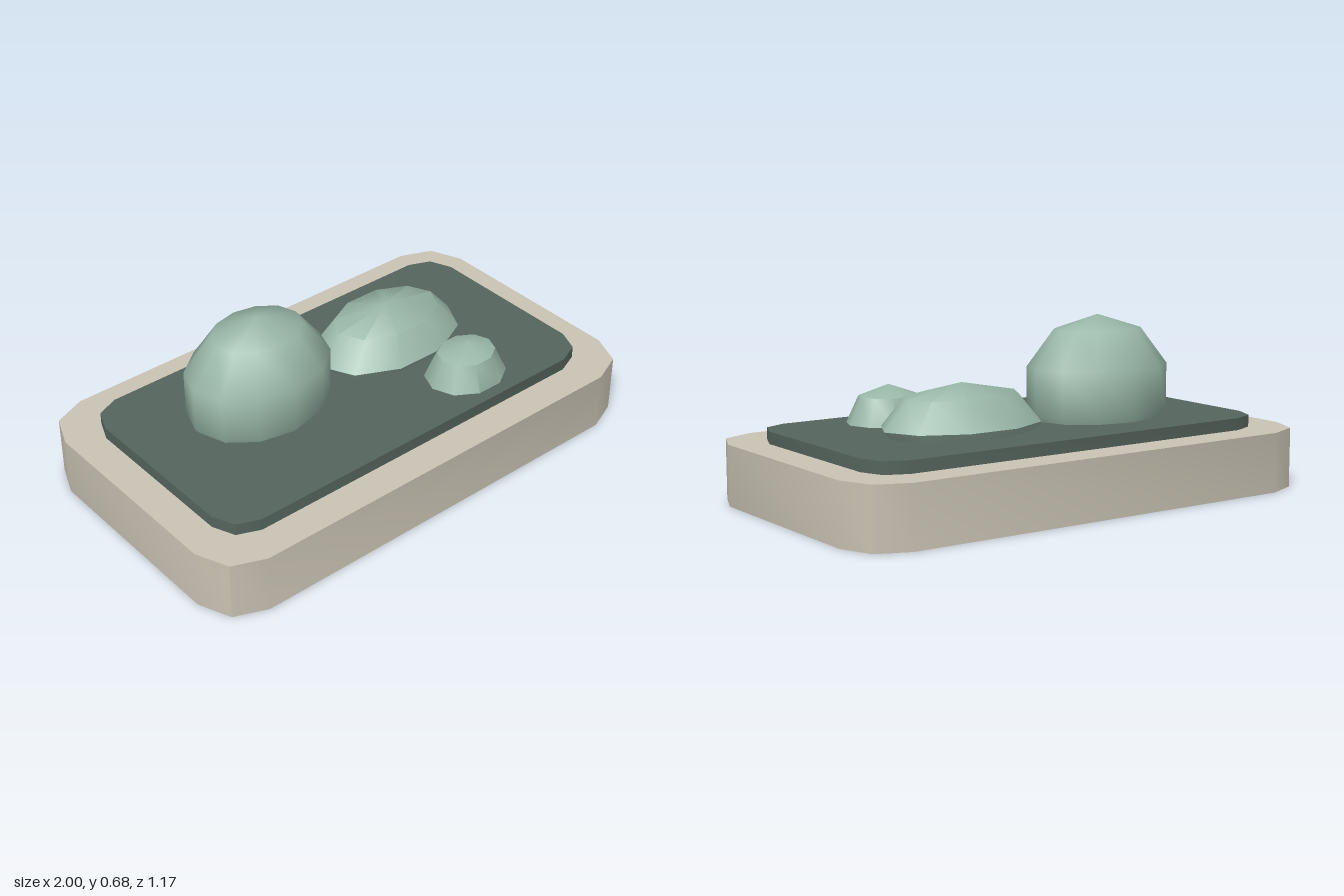
import * as THREE from 'three';
import { toCreasedNormals } from 'three/addons/utils/BufferGeometryUtils.js';

const CREASE = 0.77;

function material(name, color) {
  const m = new THREE.MeshStandardMaterial({ color });
  m.name = name;
  return m;
}

// Upright slab with corners rounded in two steps
function roundedSlab(halfX, halfZ, radius, bottom, top) {
  const x = halfX - radius, z = halfZ - radius, q = Math.PI / 2;
  const shape = new THREE.Shape();
  shape.absarc(x, z, radius, 0, q);
  shape.absarc(-x, z, radius, q, 2 * q);
  shape.absarc(-x, -z, radius, 2 * q, 3 * q);
  shape.absarc(x, -z, radius, 3 * q, 4 * q);
  const g = new THREE.ExtrudeGeometry(shape, { depth: top - bottom, bevelEnabled: false, curveSegments: 1 });
  g.rotateX(-q);
  g.translate(0, bottom, 0);
  return toCreasedNormals(g, CREASE);
}

// Squashed low-poly ball, partly sunk into the bed
function mound(center, radii, around, rings, creased) {
  const g = new THREE.SphereGeometry(1, around, rings);
  g.scale(...radii);
  g.translate(...center);
  return creased ? toCreasedNormals(g, CREASE) : g;
}

export function createModel() {
  const stone = material('pale stone', 0xcbc4b5);
  const soil = material('dark green bed', 0x56655e);
  const leaf = material('sage green', 0x9ab8a9);
  const group = new THREE.Group();
  const add = (name, geometry, mat) => {
    const mesh = new THREE.Mesh(geometry, mat);
    mesh.name = name;
    group.add(mesh);
  };

  // Tray and planting bed
  add('base', roundedSlab(1, 0.585, 0.18, 0, 0.233), stone);
  add('bed', roundedSlab(0.87, 0.453, 0.125, 0.2, 0.28), soil);

  // Three shrubs
  add('tallShrub', mound([-0.345, 0.392, -0.079], [0.31, 0.285, 0.24], 12, 5, false), leaf);
  add('wideShrub', mound([0.293, 0.31, -0.086], [0.333, 0.155, 0.22], 10, 4, true), leaf);
  add('smallShrub', mound([0.392, 0.28, 0.267], [0.17, 0.145, 0.144], 10, 4, true), leaf);
  return group;
}
